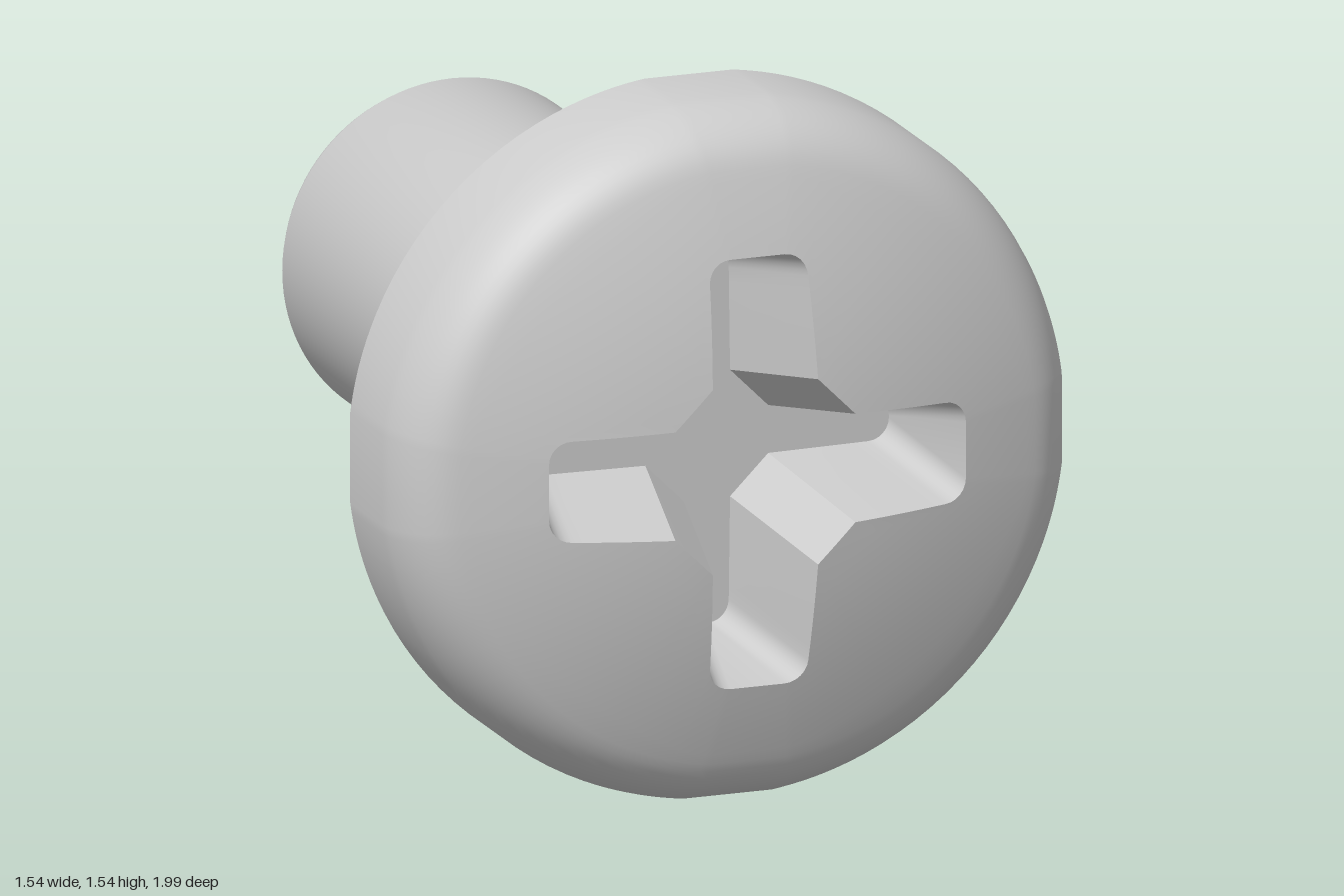
import * as THREE from 'three';
import { toCreasedNormals } from 'three/addons/utils/BufferGeometryUtils.js';

const CENTRE_Y = 0.777;
const HEAD_R = 0.777;
const FLOOR_Z = 0.64;
const V = (x, y, z) => new THREE.Vector3(x, y, z);
const material = new THREE.MeshStandardMaterial({ color: 0xcccccc });

// Height of the domed front at radius r
const domeZ = (r) => 1.006 - (r * r) / 3.64;

// Skin closed rows of points; rows run outward, points counter-clockwise from the front
function skin(rows) {
  const n = rows[0].length;
  const index = [];
  for (let i = 0; i < rows.length - 1; i++) {
    for (let j = 0; j < n; j++) {
      const k = (j + 1) % n;
      const a = i * n + j, b = a + n, c = (i + 1) * n + k, d = i * n + k;
      index.push(a, b, c, a, c, d);
    }
  }
  const g = new THREE.BufferGeometry().setFromPoints(rows.flat());
  g.setIndex(index);
  return toCreasedNormals(g, 0.6);
}

// Cross outline: arm length, half width at tip, half width and distance at the inner corner, tip fillet
function crossOutline(length, tip, inner, corner, fillet) {
  const arm = [];
  const line = (x0, y0, x1, y1, steps) => {
    for (let i = 0; i < steps; i++) {
      const t = i / steps;
      arm.push(new THREE.Vector2(x0 + (x1 - x0) * t, y0 + (y1 - y0) * t));
    }
  };
  const arc = (side, from) => {
    for (let i = 0; i <= 6; i++) {
      const a = from + (i / 6) * (Math.PI / 2);
      arm.push(new THREE.Vector2(length - fillet + fillet * Math.cos(a),
        side * (tip - fillet) + fillet * Math.sin(a)));
    }
  };
  line(corner, -inner, length - fillet, -tip, 7);
  arc(-1, -Math.PI / 2);
  arc(1, 0);
  line(length - fillet, tip, corner, inner, 7);
  line(corner, inner, inner, corner, 9);
  const points = [];
  for (let q = 0; q < 4; q++) {
    for (const p of arm) points.push(p.clone().rotateAround(new THREE.Vector2(), q * Math.PI / 2));
  }
  return points;
}

function lathe(profile) {
  const g = new THREE.LatheGeometry(profile.map(([r, z]) => new THREE.Vector2(r, z)), 96);
  g.rotateX(Math.PI / 2);
  return toCreasedNormals(g, 0.5);
}

export function createModel() {
  const group = new THREE.Group();
  const add = (name, geometry) => {
    const mesh = new THREE.Mesh(geometry, material);
    mesh.name = name;
    mesh.position.y = CENTRE_Y;
    group.add(mesh);
  };

  const opening = crossOutline(0.475, 0.112, 0.12, 0.205, 0.05);
  const floor = crossOutline(0.415, 0.05, 0.053, 0.14, 0.048);
  const openingRow = opening.map((p) => V(p.x, p.y, domeZ(p.length())));

  // Domed head: from the cross opening out over the rounded rim to the back face
  const shoulderR = 0.66;
  const rows = [openingRow];
  for (let i = 1; i <= 8; i++) {
    rows.push(opening.map((p) => {
      const r = THREE.MathUtils.lerp(p.length(), shoulderR, i / 8);
      const d = p.clone().setLength(r);
      return V(d.x, d.y, domeZ(r));
    }));
  }
  const ring = (r, z) => rows.push(opening.map((p) => {
    const d = p.clone().setLength(r);
    return V(d.x, d.y, z);
  }));
  const rim = new THREE.QuadraticBezierCurve(
    new THREE.Vector2(shoulderR, domeZ(shoulderR)),
    new THREE.Vector2(0.757, 0.851),
    new THREE.Vector2(HEAD_R, 0.72));
  rim.getPoints(10).slice(1).forEach((p) => ring(p.x, p.y));
  ring(HEAD_R, 0.53);
  ring(0.6, 0.53);
  add('head', skin(rows));

  // Tapered cross recess with a flat floor
  add('crossRecess', skin([
    floor.map(() => V(0, 0, FLOOR_Z)),
    floor.map((p) => V(p.x, p.y, FLOOR_Z)),
    openingRow,
  ]));

  // Stepped collar under the head
  add('collar', lathe([[0.3, 0.455], [0.68, 0.455], [0.68, 0.535]]));

  // Plain shank with a chamfered end
  add('shank', lathe([
    [0, -1], [0.285, -1], [0.303, -0.988], [0.372, -0.915], [0.387, -0.88], [0.387, 0.46],
  ]));

  return group;
}
